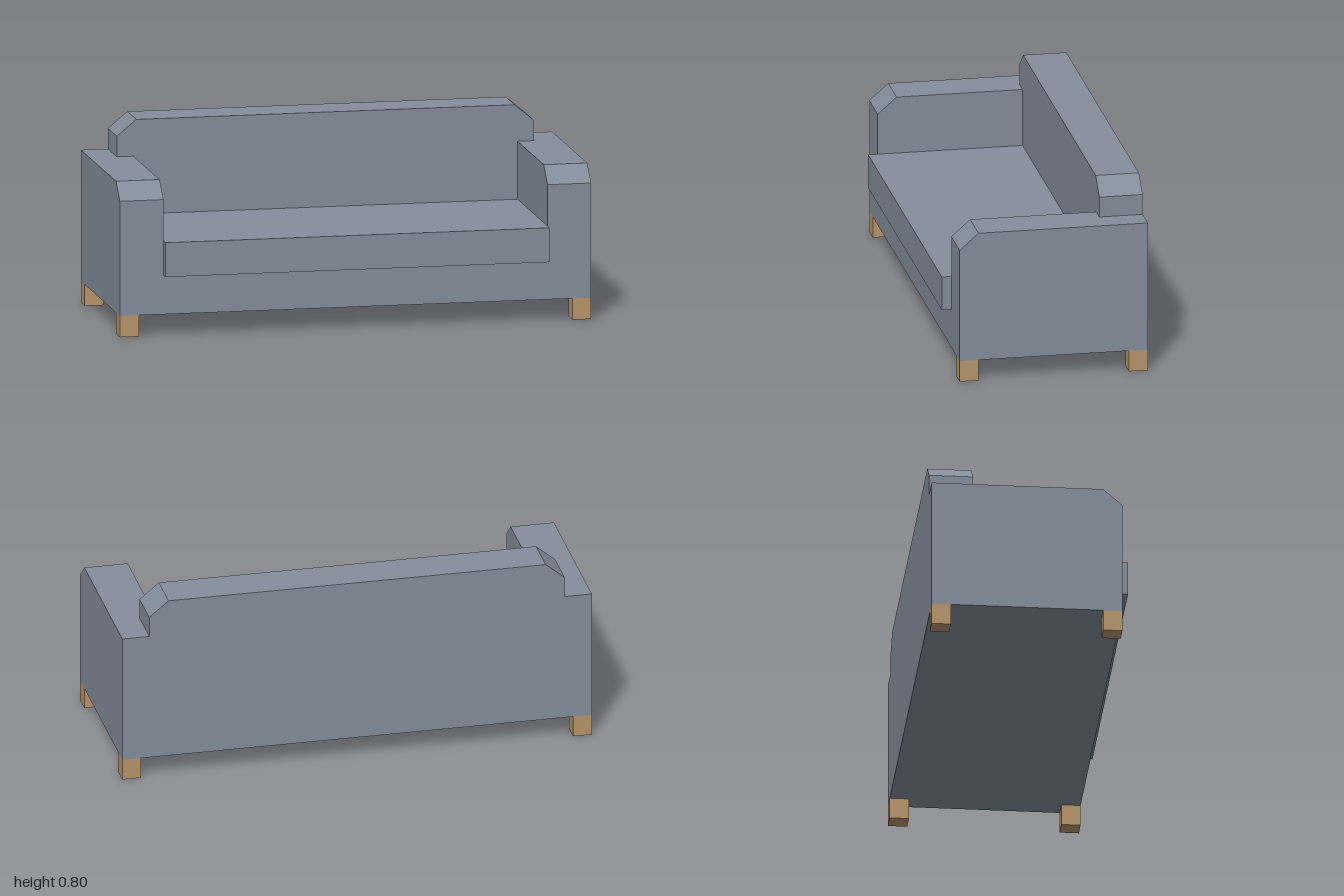
import * as THREE from 'three';

export function createModel() {
  const sofa = new THREE.Group();
  sofa.name = 'sofa';

  const fabric = new THREE.MeshStandardMaterial({ color: 0x848e9b });
  fabric.name = 'greyBlueFabric';
  const wood = new THREE.MeshStandardMaterial({ color: 0xb8966c });
  wood.name = 'lightWood';

  const add = (name, geometry, material) => {
    const mesh = new THREE.Mesh(geometry, material);
    mesh.name = name;
    sofa.add(mesh);
    return mesh;
  };

  // Box given by its minimum and maximum corners
  const box = (name, [x0, y0, z0], [x1, y1, z1], material) =>
    add(name, new THREE.BoxGeometry(x1 - x0, y1 - y0, z1 - z0), material)
      .position.set((x0 + x1) / 2, (y0 + y1) / 2, (z0 + z1) / 2);

  const extrude = (points, depth) => new THREE.ExtrudeGeometry(
    new THREE.Shape(points.map(([x, y]) => new THREE.Vector2(x, y))),
    { depth, bevelEnabled: false });

  const bottom = 0.09, armTop = 0.645, inner = 0.815;
  const rear = -0.418, front = 0.378, backFront = -0.235;

  // Base under the cushion, and the cushion overhanging it
  box('base', [-inner, bottom, backFront], [inner, 0.255, front], fabric);
  box('seatCushion', [-inner, 0.255, backFront], [inner, 0.4, 0.418], fabric);

  // Backrest, stepping out over the arms with chamfered top corners
  const half = [[inner, bottom], [inner, armTop], [0.885, armTop], [0.885, 0.732], [0.803, 0.8]];
  const outline = [...half, ...half.map(([x, y]) => [-x, y]).reverse()];
  add('backrest', extrude(outline, backFront - rear), fabric).position.z = rear;

  // Arms: side profile with a chamfered front edge, extruded across x
  const armProfile = [[rear, bottom], [front, bottom], [front, 0.575], [0.298, armTop], [rear, armTop]];
  for (const [name, x] of [['leftArm', 1], ['rightArm', -inner]]) {
    const arm = extrude(armProfile, 1 - inner).rotateY(-Math.PI / 2);
    add(name, arm, fabric).position.x = x;
  }

  // Four square legs flush with the corners
  for (const [side, x] of [['Left', 0.92], ['Right', -1]]) {
    for (const [end, z] of [['front', front - 0.08], ['back', rear]]) {
      box(end + side + 'Leg', [x, 0, z], [x + 0.08, bottom, z + 0.08], wood);
    }
  }

  return sofa;
}
